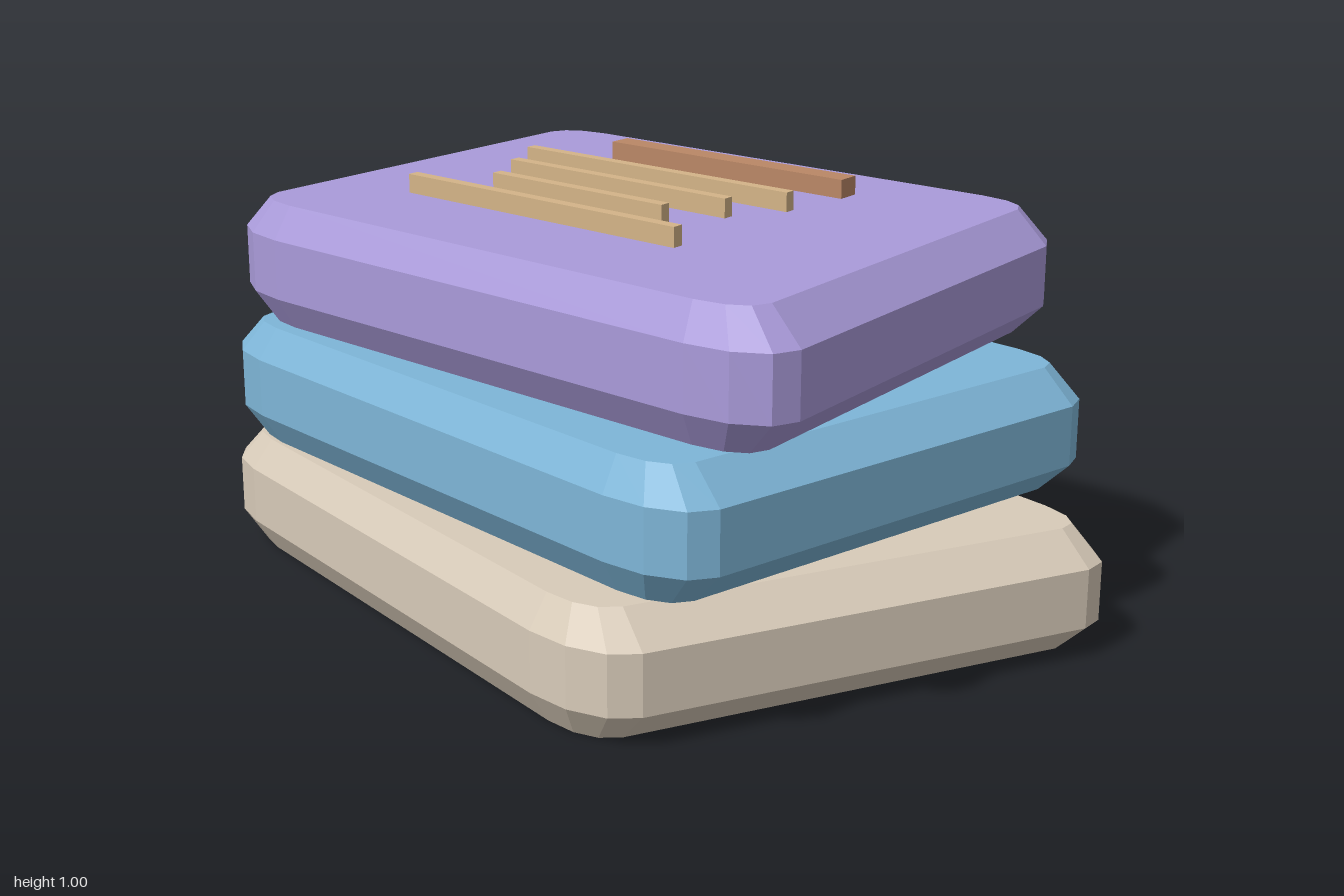
import * as THREE from 'three';

const STRETCH = 1.78; // widening along x, applied after each slab is turned
const HALF_W = 0.488, HALF_D = 0.655, RADIUS = 0.12;
const CHAMFER = 0.045, CHAMFER_H = 0.075, SLAB_H = 0.29, BAR_H = 0.045, PITCH = 0.3325;

const paint = (name, hex) => {
  const m = new THREE.MeshStandardMaterial({ color: hex });
  m.name = name;
  return m;
};

// Turn about y, widen, and lift into place
function place(geometry, angle, y) {
  geometry.rotateY(angle);
  geometry.scale(STRETCH, 1, 1);
  geometry.translate(0, y, 0);
  const flat = geometry.index ? geometry.toNonIndexed() : geometry;
  flat.computeVertexNormals();
  return flat;
}

// Rectangle with three-sided rounded corners
function slabOutline() {
  const points = [];
  const corners = [[1, 1], [-1, 1], [-1, -1], [1, -1]];
  corners.forEach(([sx, sy], i) => {
    for (let k = 0; k <= 3; k++) {
      const a = (i + k / 3) * Math.PI / 2;
      points.push(new THREE.Vector2(
        sx * (HALF_W - RADIUS) + RADIUS * Math.cos(a),
        sy * (HALF_D - RADIUS) + RADIUS * Math.sin(a)));
    }
  });
  return new THREE.Shape(points);
}

function slabGeometry() {
  const g = new THREE.ExtrudeGeometry(slabOutline(), {
    depth: SLAB_H - 2 * CHAMFER_H, bevelEnabled: true, bevelSegments: 1,
    bevelThickness: CHAMFER_H, bevelSize: CHAMFER, bevelOffset: -CHAMFER,
  });
  g.rotateX(-Math.PI / 2);
  g.translate(0, CHAMFER_H, 0);
  return g;
}

export function createModel() {
  const model = new THREE.Group();
  model.name = 'stackedSlabs';

  const tan = paint('tan', 0xd4b488);
  const brown = paint('brown', 0xba8766);
  const layers = [
    { name: 'bottom', angle: -0.15, material: paint('beige', 0xd8cbb9) },
    { name: 'middle', angle: 0, material: paint('blue', 0x7eb6d8) },
    { name: 'top', angle: 0.15, material: paint('purple', 0xaa9bda) },
  ];
  // Raised strips: centre x, centre z, length, depth
  const strips = [
    { name: 'HeadingStrip', x: 0, z: -0.375, l: 0.433, d: 0.065, material: brown },
    { name: 'LineStrip1', x: -0.045, z: -0.15, l: 0.494, d: 0.03, material: tan },
    { name: 'LineStrip2', x: -0.045, z: 0, l: 0.405, d: 0.03, material: tan },
    { name: 'LineStrip3', x: -0.045, z: 0.15, l: 0.317, d: 0.03, material: tan },
    { name: 'LineStrip4', x: -0.045, z: 0.3, l: 0.494, d: 0.03, material: tan },
  ];

  layers.forEach((layer, i) => {
    const group = new THREE.Group();
    group.name = layer.name + 'Layer';
    const y = i * PITCH;

    // Chamfered slab
    const slab = new THREE.Mesh(place(slabGeometry(), layer.angle, y), layer.material);
    slab.name = layer.name + 'Slab';
    group.add(slab);

    // Strips on its upper face
    for (const s of strips) {
      const g = new THREE.BoxGeometry(s.l, BAR_H, s.d);
      g.translate(s.x, SLAB_H + BAR_H / 2, s.z);
      const strip = new THREE.Mesh(place(g, layer.angle, y), s.material);
      strip.name = layer.name + s.name;
      group.add(strip);
    }
    model.add(group);
  });
  return model;
}
